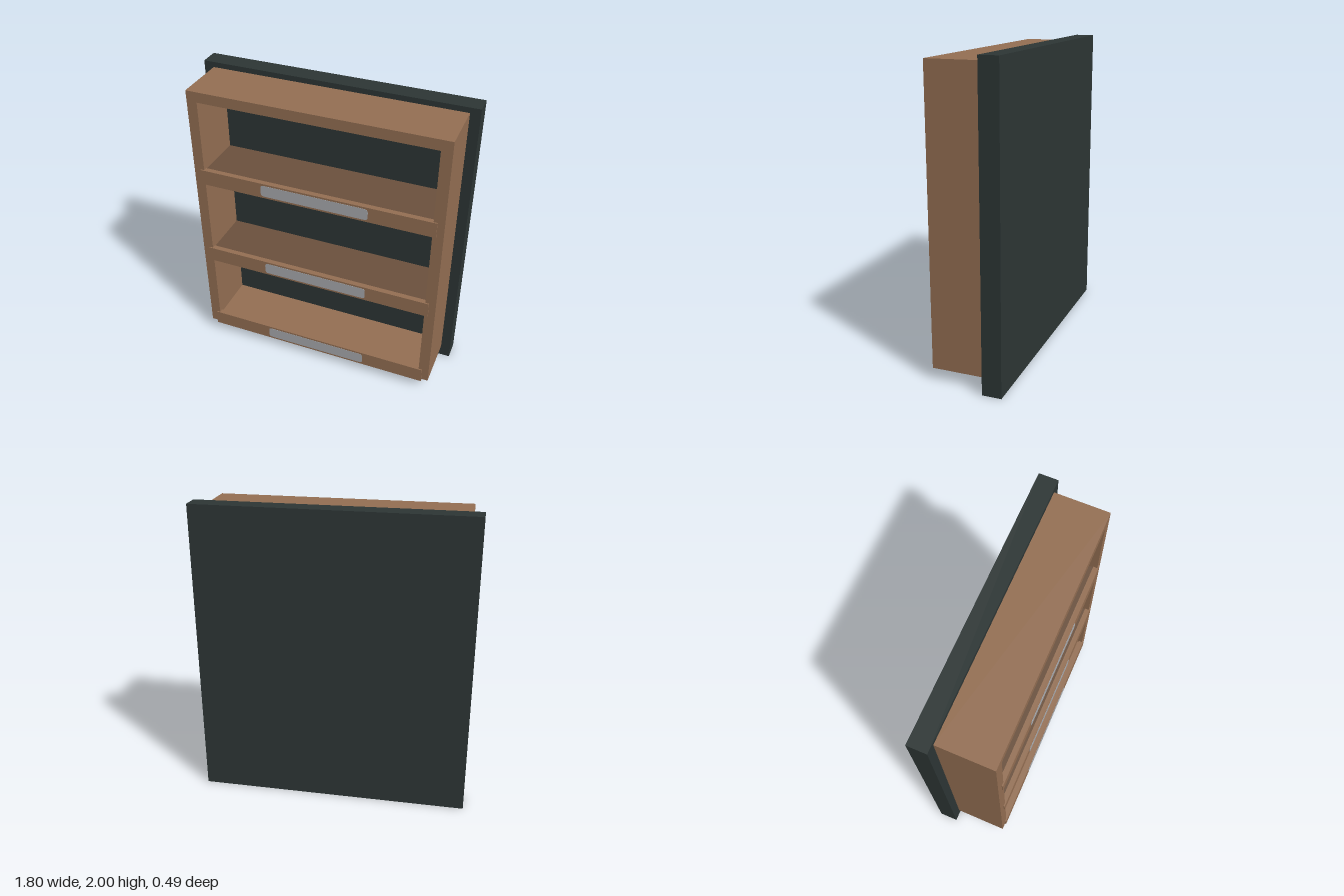
import * as THREE from 'three';

export function createModel() {
  const root = new THREE.Group();
  root.name = 'wallShelf';

  const mat = (name, color) => {
    const m = new THREE.MeshStandardMaterial({ color });
    m.name = name;
    return m;
  };
  const wood = mat('wood', 0x946f53);
  const shelfWood = mat('shelfWood', 0x6b513d);
  const slate = mat('darkSlate', 0x2d3635);
  const silver = mat('silver', 0xa9abaf);

  const add = (name, geometry, material) => {
    const mesh = new THREE.Mesh(geometry, material);
    mesh.name = name;
    root.add(mesh);
    return mesh;
  };
  // Box given by its minimum and maximum corners
  const box = (name, material, [x0, y0, z0], [x1, y1, z1]) => {
    const g = new THREE.BoxGeometry(x1 - x0, y1 - y0, z1 - z0);
    g.translate((x0 + x1) / 2, (y0 + y1) / 2, (z0 + z1) / 2);
    return add(name, g, material);
  };
  const rect = (path, x0, y0, x1, y1) => {
    path.moveTo(x0, y0);
    path.lineTo(x1, y0);
    path.lineTo(x1, y1);
    path.lineTo(x0, y1);
    path.closePath();
    return path;
  };

  // Back panel
  box('backPanel', slate, [-0.9, 0, -0.245], [0.9, 2, -0.12]);

  // Open wooden case
  const outline = rect(new THREE.Shape(), -0.835, 0.08, 0.835, 1.965);
  outline.holes.push(rect(new THREE.Path(), -0.765, 0.148, 0.765, 1.895));
  const caseGeometry = new THREE.ExtrudeGeometry(outline, { depth: 0.357, bevelEnabled: false });
  caseGeometry.translate(0, 0, -0.12);
  add('caseFrame', caseGeometry, wood);

  // Label plate with small rounded corners
  const w = 0.36, h = 0.04, r = 0.022;
  const plate = new THREE.Shape();
  plate.moveTo(-w + r, -h);
  plate.lineTo(w - r, -h);
  plate.quadraticCurveTo(w, -h, w, -h + r);
  plate.lineTo(w, h - r);
  plate.quadraticCurveTo(w, h, w - r, h);
  plate.lineTo(-w + r, h);
  plate.quadraticCurveTo(-w, h, -w, h - r);
  plate.lineTo(-w, -h + r);
  plate.quadraticCurveTo(-w, -h, -w + r, -h);
  const plateGeometry = new THREE.ExtrudeGeometry(plate, { depth: 0.002, bevelEnabled: false, curveSegments: 4 });

  // Front rails with label plates, and the two inner shelves
  [0.118, 0.723, 1.358].forEach((y, i) => {
    box('frontRail', wood, [-0.79, y - 0.053, 0.21], [0.79, y + 0.053, 0.245]);
    add('labelPlate', plateGeometry, silver).position.set(0, y, 0.2445);
    if (i > 0) box('shelf', shelfWood, [-0.765, y - 0.03, -0.12], [0.765, y + 0.045, 0.21]);
  });

  return root;
}
